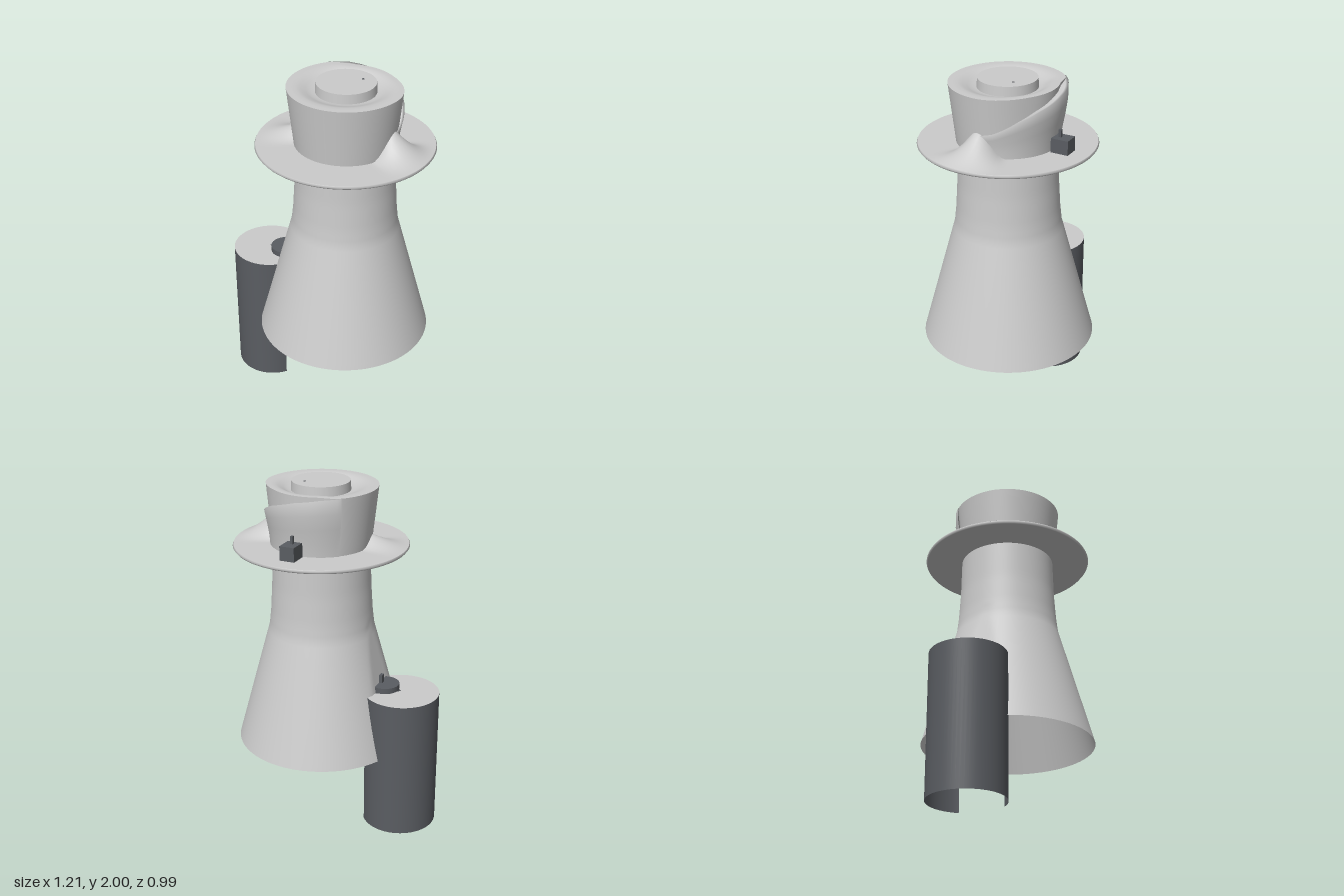
import * as THREE from 'three';
import { mergeVertices } from 'three/addons/utils/BufferGeometryUtils.js';

const DEG = Math.PI / 180;
const { lerp, smoothstep } = THREE.MathUtils;
const light = new THREE.MeshStandardMaterial({ color: 0xcccccc, side: THREE.DoubleSide });
const dark = new THREE.MeshStandardMaterial({ color: 0x5a5d62, side: THREE.DoubleSide });

// Grid surface from f(u, v) -> [x, y, z]; cells for which skip(i, j) is true stay open
function surface(nu, nv, f, skip = () => false) {
  const pos = [], index = [];
  for (let j = 0; j <= nv; j++) for (let i = 0; i <= nu; i++) pos.push(...f(i / nu, j / nv));
  for (let j = 0; j < nv; j++) for (let i = 0; i < nu; i++) {
    if (skip(i, j, pos)) continue;
    const a = j * (nu + 1) + i, b = a + 1, c = a + nu + 1, d = c + 1;
    index.push(a, b, d, a, d, c);
  }
  let g = new THREE.BufferGeometry();
  g.setAttribute('position', new THREE.Float32BufferAttribute(pos, 3));
  g.setIndex(index);
  g = mergeVertices(g, 1e-5);
  g.computeVertexNormals();
  return g;
}

// Piecewise linear lookup in [[key, value], ...]
function lookup(table, k) {
  for (let i = 1; i < table.length; i++) {
    const [k0, v0] = table[i - 1], [k1, v1] = table[i];
    if (k <= k1) return lerp(v0, v1, (k - k0) / (k1 - k0));
  }
  return table[table.length - 1][1];
}

const polar = (deg, r, y) => [Math.sin(deg * DEG) * r, y, Math.cos(deg * DEG) * r];

export function createModel() {
  const model = new THREE.Group();
  const tower = new THREE.Group();
  tower.name = 'tower';
  tower.position.x = 0.11;
  model.add(tower);
  const add = (parent, name, geometry, material, x = 0, y = 0, z = 0) => {
    const mesh = new THREE.Mesh(geometry, material);
    mesh.name = name;
    mesh.position.set(x, y, z);
    parent.add(mesh);
    return mesh;
  };

  // Flared skirt, flattened on the drum side and open where the drum enters
  const skirt = [[0.455, 0.493], [1.16, 0.3], [1.25, 0.29], [1.41, 0.28], [1.63, 0.275]];
  const flat = (y) => -0.455 + 0.22 * (y - 0.455);
  const NU = 96, NV = 40;
  add(tower, 'skirt', surface(NU, NV, (u, v) => {
    const y = lerp(0.455, 1.63, v);
    const p = polar(u * 360, lookup(skirt, y), y);
    if (y < 1.2) p[0] = Math.max(p[0], flat(y));
    return p;
  }, (i, j, pos) => {
    const inPanel = (k) => pos[3 * k] <= flat(pos[3 * k + 1]) + 1e-4;
    const a = j * (NU + 1) + i;
    return pos[3 * a + 1] < 0.79 && inPanel(a) && inPanel(a + 1);
  }), light);

  // Wide brim with a tall swelling on one side and a low one on the other
  const bump = (deg, r, centre, width, height) => {
    const t = Math.max(0, 1 - Math.abs(deg - centre) / width);
    const s = Math.max(0, (0.49 - r) / 0.2);
    return height * smoothstep(t, 0, 1) * Math.min(1, s) ** 1.3;
  };
  const brimTop = (deg, r) => 1.648 + bump(deg, r, 87, 30, 0.14) + bump(deg, r, 282, 24, 0.06);
  add(tower, 'brimTop', surface(96, 12, (u, v) => {
    const r = lerp(0.488, 0.265, v);
    return polar(u * 360, r, brimTop(u * 360, r));
  }), light);
  const edge = [[0.27, 1.628], [0.485, 1.628], [0.493, 1.638], [0.488, 1.648]];
  add(tower, 'brimUnderside', new THREE.LatheGeometry(
    edge.map(([r, y]) => new THREE.Vector2(r, y)), 96), light);

  // Crown, narrowed at the back behind the wrapping band
  const pinch = (d) => 0.04 * smoothstep(d, 85, 150) * (1 - smoothstep(d, 200, 225));
  const crownTop = (d) => 0.318 - pinch(d);
  add(tower, 'crown', surface(60, 6, (u, v) => {
    const d = u * 360;
    return polar(d, lerp(0.28 - 0.5 * pinch(d), crownTop(d), v), lerp(1.64, 1.975, v));
  }), light);
  add(tower, 'crownTop', surface(60, 6, (u, v) => {
    const d = u * 360;
    const dip = 0.03 * smoothstep(v, 0.3, 0.95);
    return polar(d, lerp(crownTop(d), 0.16, v), 1.975 - dip);
  }), light);

  // Band climbing round the back of the crown
  const climb = [[64, 1.645], [74, 1.71], [84, 1.76], [105, 1.79], [130, 1.86],
    [150, 1.905], [180, 1.95], [205, 1.97], [225, 1.975]];
  add(tower, 'wrappingBand', surface(40, 8, (u, v) => {
    const d = lerp(64, 225, u), top = lookup(climb, d);
    if (v <= 0.5) {
      const y = lerp(1.64, top, v * 2);
      return polar(d, 0.285 + 0.036 * smoothstep(y, 1.64, 1.92), y);
    }
    const k = v * 2 - 1;
    const rim = 0.285 + 0.036 * smoothstep(top, 1.64, 1.92);
    return polar(d, lerp(rim, 0.255, k), top - 0.02 * k);
  }), light);

  // Button on top with a tiny stud
  add(tower, 'topButton', new THREE.CylinderGeometry(0.162, 0.165, 0.055, 48), light, 0, 1.9705, 0);
  add(tower, 'stud', new THREE.CylinderGeometry(0.007, 0.007, 0.006, 10), dark, 0.065, 1.997, -0.07);

  // Small box on the brim at the back
  add(tower, 'brimBox', new THREE.BoxGeometry(0.085, 0.085, 0.1), dark, 0.016, 1.685, -0.34);
  add(tower, 'brimBoxPin', new THREE.BoxGeometry(0.015, 0.05, 0.015), dark, 0.016, 1.745, -0.325);

  // Side drum: open below and open towards the tower
  const drum = new THREE.Group();
  drum.name = 'sideDrum';
  drum.position.x = -0.39;
  model.add(drum);
  const gap = 38 * DEG, R = 0.215;
  add(drum, 'drumWall', new THREE.CylinderGeometry(R, R, 0.82, 48, 1, true,
    Math.PI / 2 + gap, 2 * Math.PI - 2 * gap), dark, 0, 0.41, 0);
  const lid = add(drum, 'drumLid', new THREE.CircleGeometry(R, 48, gap, 2 * Math.PI - 2 * gap), light, 0, 0.82, 0);
  lid.rotation.x = -Math.PI / 2;

  // Dark hatch and handle where the drum meets the skirt
  add(drum, 'hatch', new THREE.CylinderGeometry(0.085, 0.085, 0.035, 24), dark, 0.105, 0.835, 0);
  add(drum, 'hatchHandle', new THREE.BoxGeometry(0.02, 0.06, 0.03), dark, 0.125, 0.87, 0);

  return model;
}
